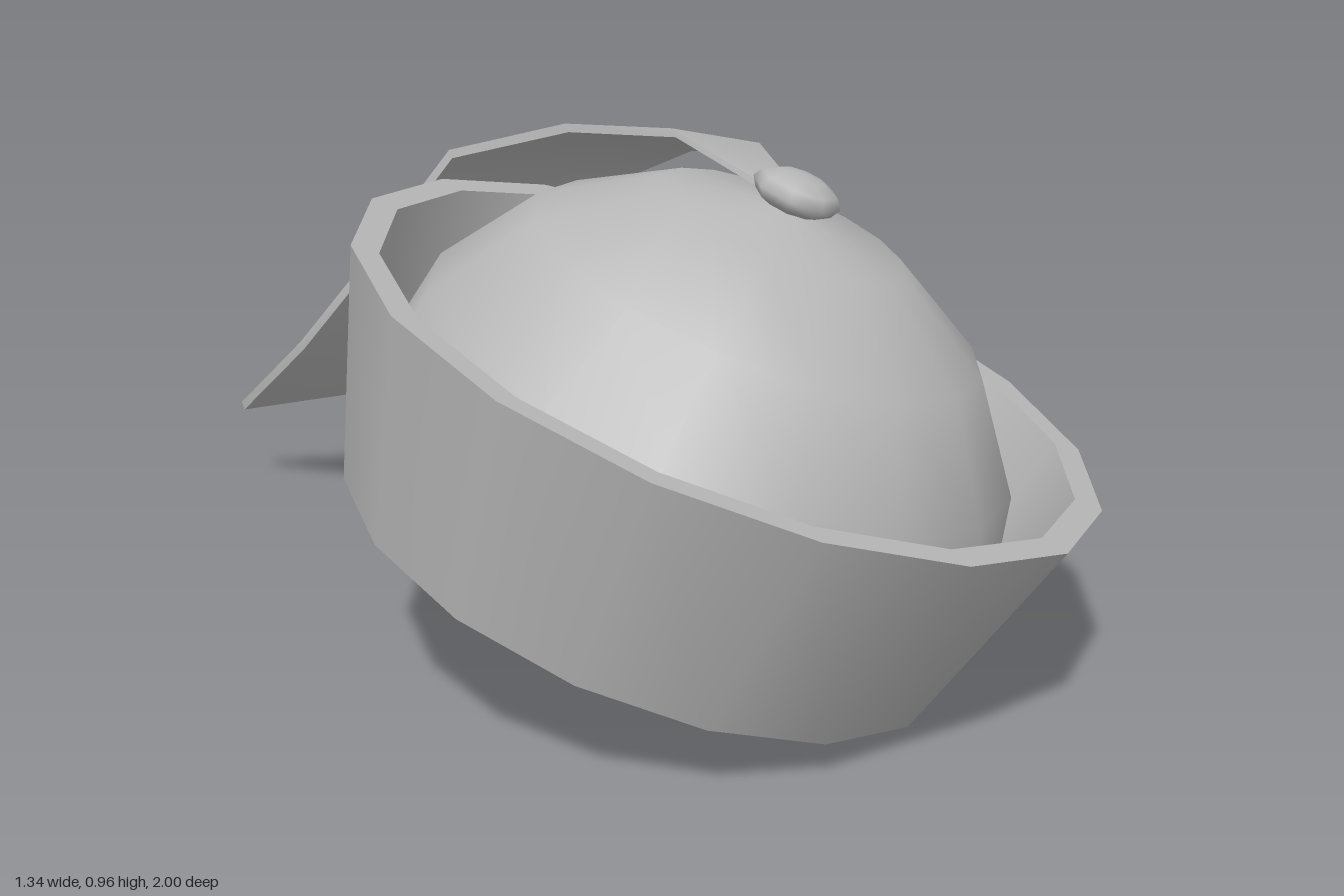
import * as THREE from 'three';

const SIDES = 16;

export function createModel() {
  const model = new THREE.Group();
  model.name = 'sailorCap';
  const cloth = new THREE.MeshStandardMaterial({ color: 0xb8b8b8, side: THREE.DoubleSide });
  cloth.name = 'grey cloth';

  const add = (parent, name, geometry) => {
    const mesh = new THREE.Mesh(geometry, cloth);
    mesh.name = name;
    parent.add(mesh);
    return mesh;
  };
  const lathe = (points) =>
    new THREE.LatheGeometry(points.map(([r, y]) => new THREE.Vector2(r, y)), SIDES);

  // Tilted cap, with its origin at the middle of the brim's top edge
  const cap = new THREE.Group();
  cap.name = 'cap';
  cap.position.set(0, 0.6, 0.33);
  cap.rotation.set(0.245, 0, -0.26, 'ZXY');
  model.add(cap);

  // Flared brim: separate lathes keep its edges sharp
  add(cap, 'brimOuter', lathe([[0.575, -0.42], [0.695, 0]]));
  add(cap, 'brimTopEdge', lathe([[0.695, 0], [0.645, 0]]));
  add(cap, 'brimInner', lathe([[0.645, 0], [0.587, -0.25]]));
  add(cap, 'innerBand', lathe([[0.587, -0.25], [0.573, -0.42]]));

  // Domed crown
  const arc = [];
  for (let i = 0; i <= 4; i++) {
    const a = (i / 4) * Math.PI / 2;
    arc.push([0.59 * Math.cos(a), -0.25 + 0.54 * Math.sin(a)]);
  }
  add(cap, 'crown', lathe(arc));

  // Flattened button on top
  const button = add(cap, 'button', new THREE.SphereGeometry(0.08, 8, 6));
  button.scale.y = 0.45;
  button.position.y = 0.31;

  // Ribbon cross-sections: [left x, left y, right x, right y, z]
  const rows = [
    [0.04, 0.905, 0.105, 0.9, 0.35],
    [-0.01, 0.97, 0.185, 0.92, 0.16],
    [-0.065, 0.94, 0.215, 0.87, -0.1],
    [-0.15, 0.85, 0.24, 0.755, -0.38],
    [-0.25, 0.63, 0.22, 0.5, -0.52],
    [-0.32, 0.41, 0.175, 0.265, -0.71],
    [-0.325, 0.2, 0.08, 0.08, -1],
  ].map(([lx, ly, rx, ry, z]) => {
    const l = new THREE.Vector3(lx, ly, z), r = new THREE.Vector3(rx, ry, z);
    return [l, l.clone().lerp(r, 0.5), r];
  });
  rows[6][1].set(-0.095, 0.235, -0.865); // swallowtail notch

  const offset = new THREE.Vector3(0, -0.014, 0.012);
  const lower = rows.map((row) => row.map((p) => p.clone().add(offset)));

  // Grid of points to a smooth surface
  const surface = (grid, flip) => {
    const w = grid[0].length, index = [];
    for (let i = 0; i < grid.length - 1; i++)
      for (let j = 0; j < w - 1; j++) {
        const a = i * w + j, b = a + 1, c = a + w, d = c + 1;
        index.push(...(flip ? [a, c, b, b, c, d] : [a, b, c, b, d, c]));
      }
    const g = new THREE.BufferGeometry().setFromPoints(grid.flat());
    g.setIndex(index);
    g.computeVertexNormals();
    return g;
  };

  const ribbon = new THREE.Group();
  ribbon.name = 'ribbon';
  model.add(ribbon);
  add(ribbon, 'ribbonTop', surface(rows, false));
  add(ribbon, 'ribbonUnderside', surface(lower, true));
  const edge = (j) => rows.map((row, i) => [row[j], lower[i][j]]);
  add(ribbon, 'ribbonRightEdge', surface(edge(0), true));
  add(ribbon, 'ribbonLeftEdge', surface(edge(2), false));
  for (const j of [0, 1])
    add(ribbon, 'ribbonTailEdge', surface([
      [rows[6][j], lower[6][j]],
      [rows[6][j + 1], lower[6][j + 1]],
    ], true));

  return model;
}
